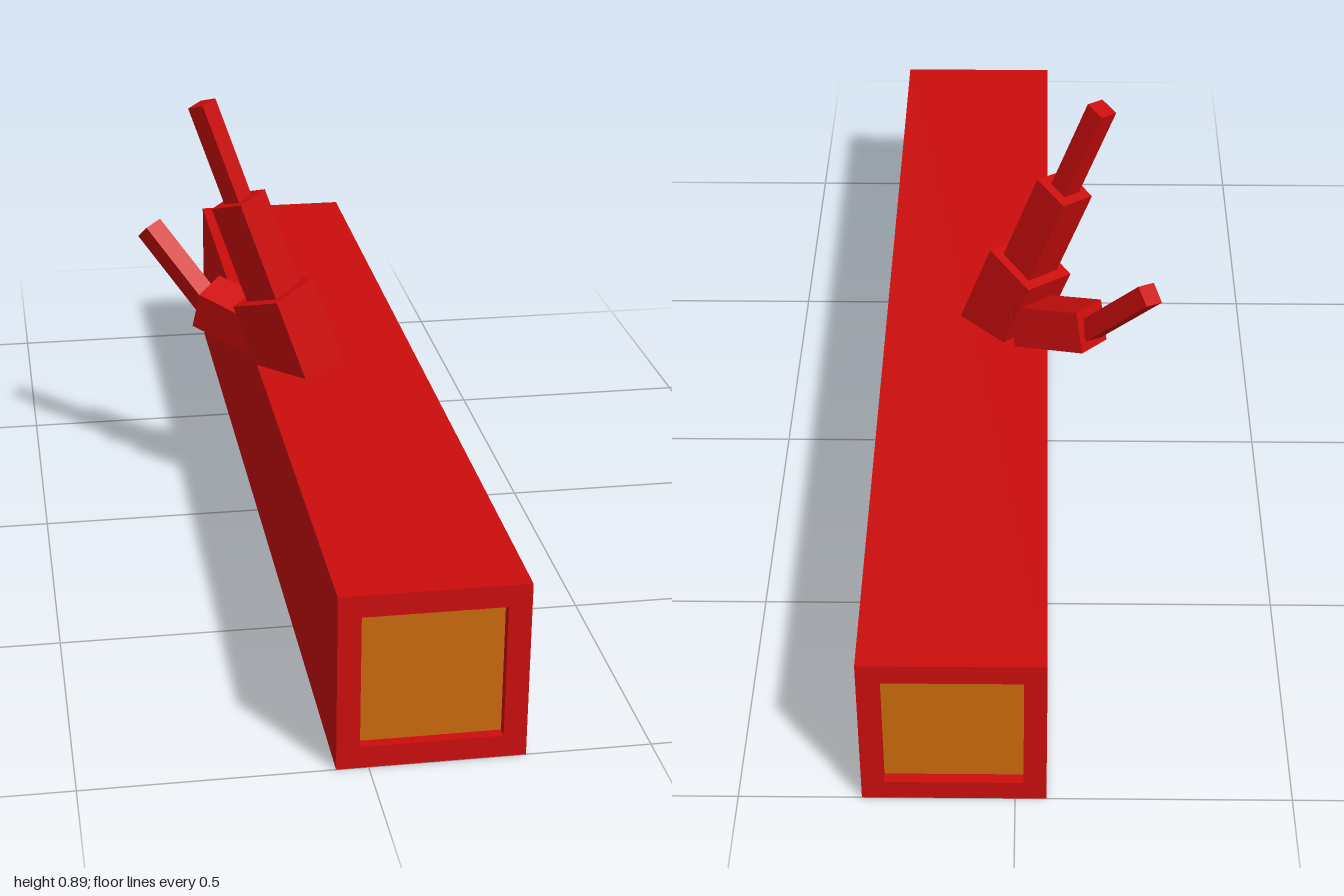
import * as THREE from 'three';

const V = (x, y, z) => new THREE.Vector3(x, y, z);

export function createModel() {
  const model = new THREE.Group();
  const bark = new THREE.MeshStandardMaterial({ color: 0xcc0d0d });
  bark.name = 'red bark';
  const wood = new THREE.MeshStandardMaterial({ color: 0xcc6b0d });
  wood.name = 'orange wood';

  const add = (name, geometry, material) => {
    const mesh = new THREE.Mesh(geometry, material);
    mesh.name = name;
    model.add(mesh);
    return mesh;
  };

  // Square bark tube with raised rims at both ends
  const cx = 0.11, cy = 0.1665, outer = 0.1665, inner = 0.1255;
  const square = (path, r) => {
    path.moveTo(-r, -r);
    path.lineTo(r, -r);
    path.lineTo(r, r);
    path.lineTo(-r, r);
    path.closePath();
    return path;
  };
  const ring = square(new THREE.Shape(), outer);
  ring.holes.push(square(new THREE.Path(), inner));
  const tube = new THREE.ExtrudeGeometry(ring, { depth: 2, bevelEnabled: false });
  add('logBark', tube, bark).position.set(cx, cy, -1);

  // Wooden core, slightly recessed at each end
  const core = new THREE.BoxGeometry(inner * 2, inner * 2, 1.96);
  add('logCore', core, wood).position.set(cx, cy, 0);

  // Square stick whose end centre is given, running back along its direction
  const stick = (name, end, direction, side, width, length) => {
    const d = direction.clone().normalize();
    const u = side.clone().addScaledVector(d, -side.dot(d)).normalize();
    const w = u.clone().cross(d);
    const geometry = new THREE.BoxGeometry(width, length, width);
    geometry.translate(0, -length / 2, 0);
    geometry.applyMatrix4(new THREE.Matrix4().makeBasis(u, d, w).setPosition(end));
    add(name, geometry, bark);
  };

  // Main branch in three narrowing steps
  const rise = V(-0.346, 1, -0.112), riseSide = V(0.7, 0.17, -0.7);
  stick('branchBase', V(-0.021, 0.486, -0.016), rise, riseSide, 0.122, 0.23);
  stick('branchMiddle', V(-0.088, 0.682, -0.038), rise, riseSide, 0.081, 0.22);
  stick('branchTip', V(-0.157, 0.879, -0.06), rise, riseSide, 0.041, 0.22);

  // Side shoot: a low stub carrying a thin twig
  stick('shootStub', V(-0.144, 0.423, -0.148), V(-0.79, 0.305, -0.526),
    V(0.586, 0.179, -0.776), 0.085, 0.17);
  stick('shootTwig', V(-0.2535, 0.563, -0.23), V(-0.78, 1, -0.54),
    V(0.015, 0.026, 0.027), 0.042, 0.2);

  return model;
}
